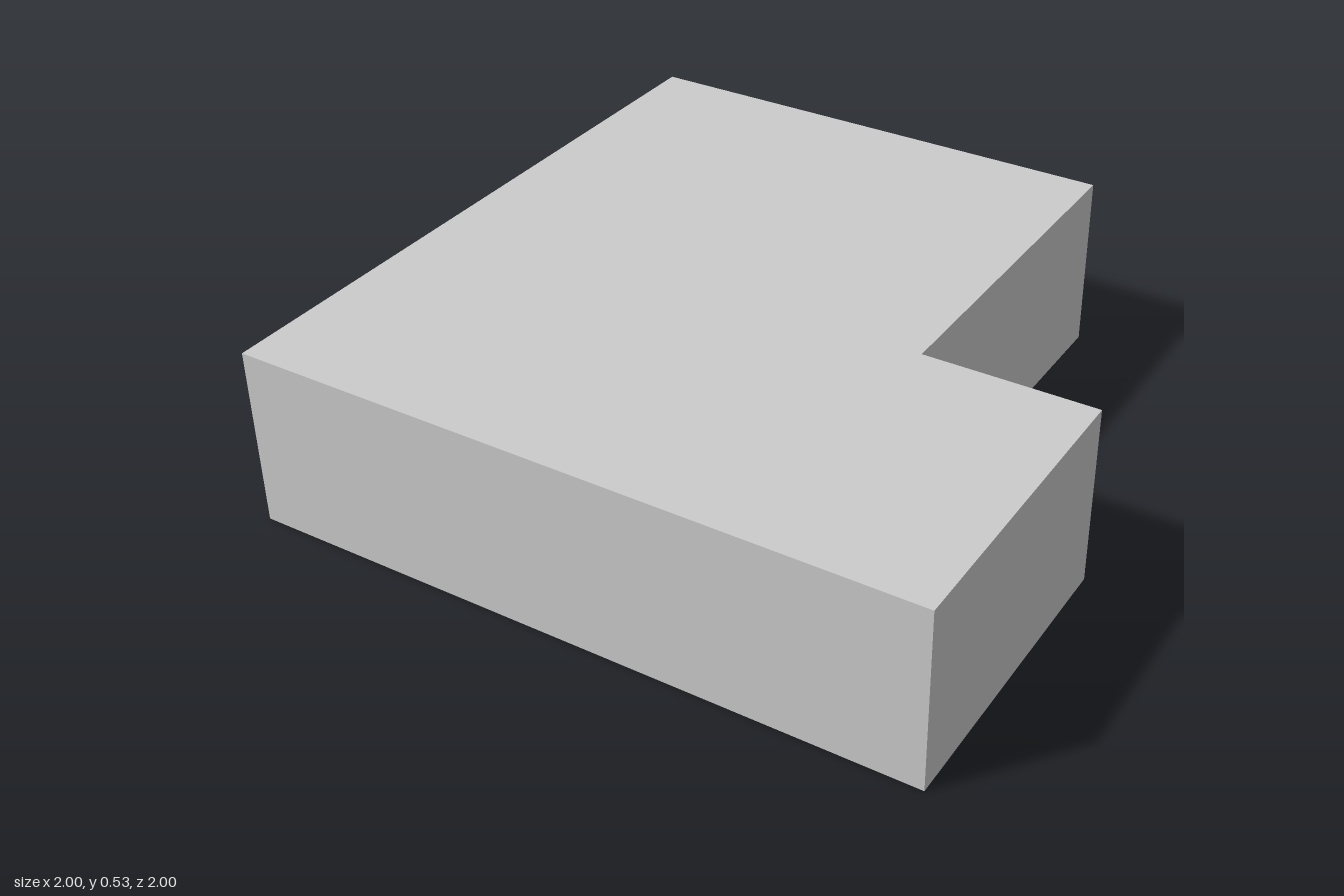
import * as THREE from 'three';

export function createModel() {
  const group = new THREE.Group();
  const height = 0.53;

  // L-shaped footprint as (x, z) corners, with the notch at the back left
  const footprint = [[-1, 1], [1, 1], [1, 0.1], [0.5, 0.1], [0.5, -1], [-1, -1]];
  const shape = new THREE.Shape(footprint.map(([x, z]) => new THREE.Vector2(x, -z)));

  // Solid block: footprint laid flat and raised to full height
  const geometry = new THREE.ExtrudeGeometry(shape, { depth: height, bevelEnabled: false });
  geometry.rotateX(-Math.PI / 2);

  const block = new THREE.Mesh(geometry, new THREE.MeshStandardMaterial({ color: 0xcccccc }));
  block.name = 'notchedBlock';
  group.add(block);
  return group;
}
